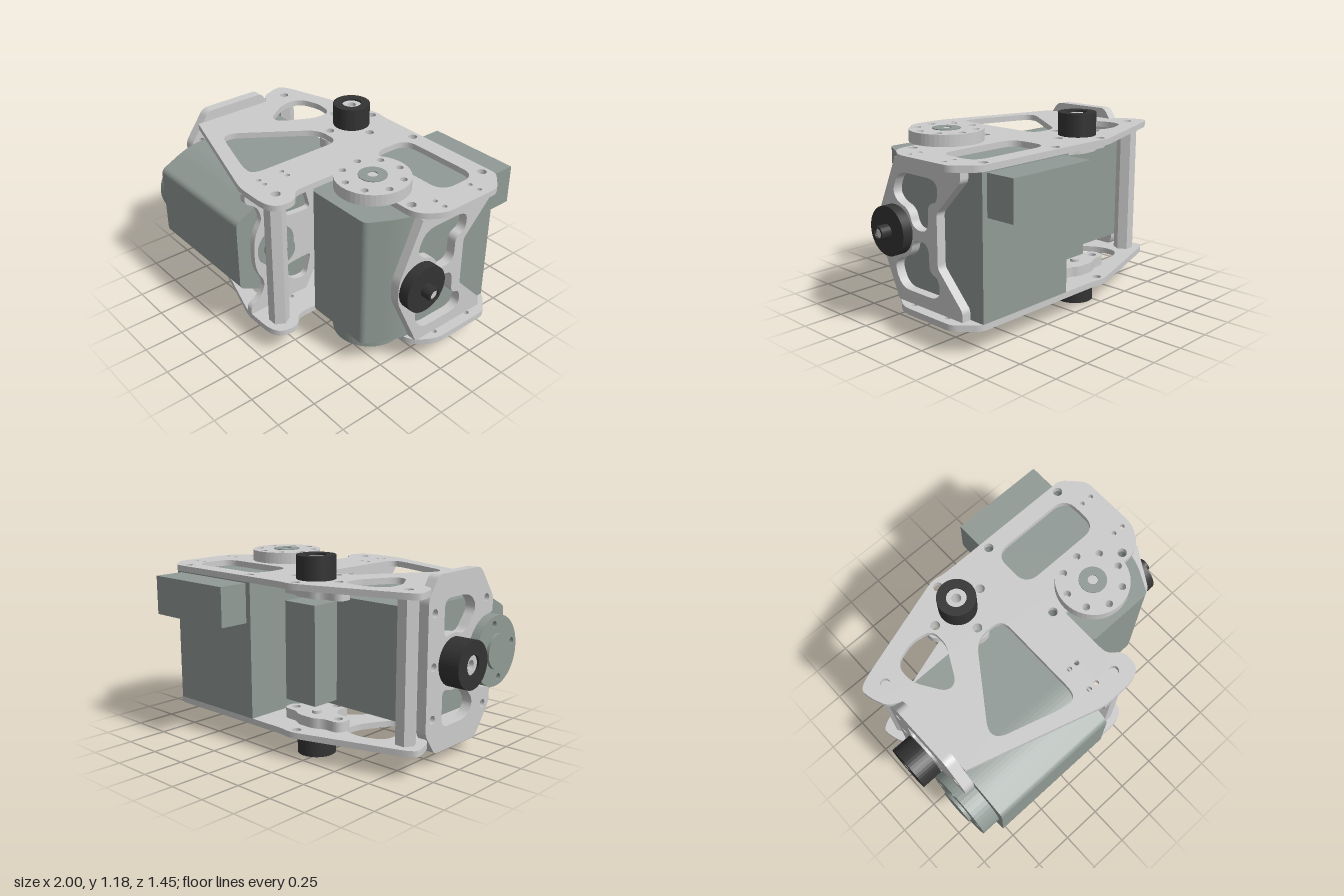
import * as THREE from 'three';

const metal = new THREE.MeshStandardMaterial({ color: 0xcccccc });
const metalFlat = new THREE.MeshStandardMaterial({ color: 0xcccccc, flatShading: true });
const casing = new THREE.MeshStandardMaterial({ color: 0x909a95 });
const rubber = new THREE.MeshStandardMaterial({ color: 0x333333 });
const MID = 0.595; // height of the mirror plane between the two plates

// Closed counter-clockwise path through [a, b, cornerRadius] points with rounded corners
function rounded(points, path) {
  const clockwise = THREE.ShapeUtils.isClockWise(points.map(([x, y]) => ({ x, y })));
  const pts = clockwise ? [...points].reverse() : points;
  const n = pts.length;
  pts.forEach(([a, b, r = 0], i) => {
    const p = new THREE.Vector2(a, b);
    const toward = q => {
      const d = new THREE.Vector2(q[0], q[1]).sub(p);
      return d.clone().setLength(Math.min(r, d.length() * 0.48)).add(p);
    };
    const s = toward(pts[(i + n - 1) % n]), e = toward(pts[(i + 1) % n]);
    if (i) path.lineTo(s.x, s.y); else path.moveTo(s.x, s.y);
    if (r) path.quadraticCurveTo(p.x, p.y, e.x, e.y);
  });
  path.closePath();
  return path;
}

function arc(ca, cb, r, from, to, steps = 14) {
  return Array.from({ length: steps + 1 }, (_, i) => {
    const t = from + (to - from) * i / steps;
    return [ca + r * Math.cos(t), cb + r * Math.sin(t)];
  });
}

const circle = (a, b, r, steps = 24) => arc(a, b, r, 0, Math.PI * 2, steps).slice(1);

// Flat slab: axis 'y' takes (x, z) points, axis 'x' takes (z, y) points; drills are [a, b, radius]
function slab(name, mat, axis, start, depth, outline, holes = [], drills = []) {
  const map = axis === 'y' ? p => [p[0], -p[1], p[2]] : p => [-p[0], p[1], p[2]];
  const shape = rounded(outline.map(map), new THREE.Shape());
  [...holes, ...drills.map(d => circle(...d))].forEach(h =>
    shape.holes.push(rounded(h.map(map), new THREE.Path())));
  const g = new THREE.ExtrudeGeometry(shape, { depth, bevelEnabled: false, curveSegments: 10 });
  if (axis === 'y') g.rotateX(-Math.PI / 2).translate(0, start, 0);
  else g.rotateY(Math.PI / 2).translate(start, 0, 0);
  const m = new THREE.Mesh(g, mat);
  m.name = name;
  return m;
}

// Cylinder between two positions on an axis; (a, b) is (x, z) or (z, y)
function rod(name, mat, axis, from, to, a, b, r, sides = 40) {
  const m = new THREE.Mesh(new THREE.CylinderGeometry(r, r, to - from, sides), mat);
  const c = (from + to) / 2;
  if (axis === 'y') m.position.set(a, c, b);
  else { m.rotation.z = -Math.PI / 2; m.position.set(c, b, a); }
  m.name = name;
  return m;
}

function box(name, mat, size, position) {
  const m = new THREE.Mesh(new THREE.BoxGeometry(...size), mat);
  m.position.set(...position);
  m.name = name;
  return m;
}

// Round disc with a ring of drilled holes
function disc(name, mat, axis, start, depth, a, b, r, count, ring, hole) {
  const drills = arc(a, b, ring, 0.2, 0.2 + Math.PI * 2, count).slice(1).map(p => [...p, hole]);
  return slab(name, mat, axis, start, depth, circle(a, b, r, 48), [], drills);
}

// Round disc with a central bore
const ringDisc = (name, mat, axis, start, depth, a, b, r, bore) =>
  slab(name, mat, axis, start, depth, circle(a, b, r, 48), [], [[a, b, bore]]);

const flip = pts => pts.map(([z, y, r]) => [z, 2 * MID - y, r]).reverse();

// Main plate, notched around the second motor's axis by a given radius
function mainPlate(name, y, notch) {
  const s = Math.asin(0.02 / notch);
  return slab(name, metal, 'y', y, 0.037, [
    [-0.93, -0.325, 0.12], [-0.2, -0.555, 0.06], [-0.12, -0.54, 0.05], [0.82, -0.54, 0.04],
    [0.935, -0.42, 0.04], [0.935, -0.02, 0.06], [0.84, 0.12, 0.09],
    ...arc(0.475, 0.10, notch, s, -Math.PI - s),
    [0.24, 0.122], [0.24, 0.46, 0.04], [0.33, 0.53, 0.08], [0.3, 0.68, 0.13], [0.02, 0.68, 0.05],
    [-0.8, 0.43], [-0.8, -0.1], [-0.88, -0.14, 0.04], [-0.925, -0.25, 0.08]
  ], [
    [[-0.69, -0.29, 0.08], [-0.54, -0.34, 0.05], [-0.4, -0.32, 0.09], [-0.4, -0.19, 0.04],
      [-0.51, 0.02, 0.06], [-0.58, 0.02, 0.05], [-0.69, -0.15, 0.06]],
    [[-0.25, -0.1, 0.08], [-0.06, -0.1, 0.08], [-0.06, 0.54, 0.1], [-0.17, 0.53, 0.05], [-0.6, 0.4, 0.12]],
    [[0.19, -0.43, 0.1], [0.76, -0.43, 0.1], [0.76, -0.16, 0.1], [0.19, -0.16, 0.1]]
  ], [
    ...[[-0.2, -0.5], [0.19, -0.49], [0.755, -0.49], [0.19, 0.07], [0.755, 0.07], [-0.37, -0.325],
      [-0.025, -0.325], [-0.2, -0.15], [-0.805, -0.25], [0.2, 0.565]].map(p => [...p, 0.028]),
    ...[[0.02, 0.39], [0.02, 0.55], [0.075, 0.39], [0.075, 0.55],
      [0.81, -0.33], [0.88, -0.33], [0.81, -0.055], [0.88, -0.055]].map(p => [...p, 0.015])
  ]);
}

export function createModel() {
  const root = new THREE.Group();
  const add = (...m) => root.add(...m);

  add(mainPlate('topPlate', 1.011, 0.135), mainPlate('bottomPlate', 0.143, 0.228));

  // Sideways motor, with idler on its outer end and output on the inner end
  add(slab('sideMotorBody', casing, 'x', -0.8, 0.822,
    [[-0.18, 0.26], [0.5, 0.26, 0.12], [0.722, 0.37, 0.03], [0.722, 0.82, 0.03], [0.5, 0.93, 0.12], [-0.18, 0.93]],
    [], [[0.46, 0.88, 0.028], [0.46, 0.31, 0.028]]),
  box('sideMotorConnector', casing, [0.24, 0.605, 0.19], [-0.105, MID, -0.274]),
  disc('sideMotorIdler', casing, 'x', -0.918, 0.118, 0.47, MID, 0.218, 4, 0.17, 0.022),
  rod('sideMotorIdlerCap', casing, 'x', -0.937, -0.918, 0.47, MID, 0.11),
  rod('sideMotorNeck', casing, 'x', 0.02, 0.06, 0.48, MID, 0.13),
  ringDisc('sideMotorShaft', casing, 'x', 0.06, 0.08, 0.48, MID, 0.083, 0.03));

  // Upright motor with rear connector block
  add(slab('uprightMotorBody', casing, 'y', 0.18, 0.831,
    [[0.135, -0.54], [0.81, -0.54], [0.81, 0.13, 0.12], [0.69, 0.35, 0.03], [0.25, 0.35, 0.03], [0.135, 0.13, 0.12]],
    [], [[0.19, -0.49, 0.028], [0.755, -0.49, 0.028], [0.19, 0.07, 0.028], [0.755, 0.07, 0.028]]),
  box('uprightMotorConnector', casing, [0.605, 0.24, 0.19], [0.473, 0.885, -0.634]),
  rod('uprightMotorNeck', casing, 'y', 1.01, 1.05, 0.475, 0.1, 0.13),
  disc('outputHorn', metal, 'y', 1.05, 0.07, 0.475, 0.1, 0.22, 8, 0.175, 0.022),
  ringDisc('uprightMotorShaft', casing, 'y', 1.04, 0.085, 0.475, 0.1, 0.083, 0.03),
  disc('uprightMotorIdler', casing, 'y', 0.065, 0.115, 0.475, 0.1, 0.218, 4, 0.17, 0.022),
  rod('uprightMotorIdlerCap', casing, 'y', 0.045, 0.065, 0.475, 0.1, 0.105));

  // Right-hand end bracket, notched around the idler
  const rightHalf = [[-0.15, 0.98, 0.03], [-0.06, 1.112, 0.03], [0.35, 1.112, 0.04], [0.41, 1.03, 0.04],
    [0.49, 0.92, 0.03], [0.49, 0.83, 0.02]];
  const rightOpening = [[0.0, 0.97, 0.06], [0.25, 0.97, 0.08], [0.32, 0.88, 0.06], [0.2, 0.74, 0.05],
    [0.1, 0.77, 0.05], [0.0, 0.74, 0.05]];
  add(slab('rightBracket', metal, 'x', -0.867, 0.066,
    [...rightHalf, ...arc(0.47, MID, 0.228, 1.6, Math.PI * 2 - 1.6, 18), ...flip(rightHalf)],
    [rightOpening, flip(rightOpening)],
    [[-0.09, 0.9, 0.025], [-0.09, MID, 0.025], [-0.09, 0.29, 0.025], [0.42, 0.92, 0.025], [0.42, 0.27, 0.025]]));

  // Left-hand end bracket with two kidney openings
  const leftHalf = [[0.25, 0.66, 0.04], [0.09, 1.011], [-0.44, 1.011], [-0.44, 0.95, 0.02], [-0.25, 0.75, 0.02]];
  const leftOpening = [[0.12, 0.82, 0.06], [0.06, 0.935, 0.07], [-0.26, 0.935, 0.09], [-0.26, 0.81, 0.07],
    [-0.18, 0.79, 0.05], [-0.18, 0.625, 0.08], [-0.05, 0.625, 0.06], [-0.02, 0.73, 0.06], [0.08, 0.76, 0.04]];
  add(slab('leftBracket', metal, 'x', 0.812, 0.058, [...leftHalf, ...flip(leftHalf)],
    [leftOpening, flip(leftOpening)]));

  // Inner bracket: a ring around the motor output with an opening above and below
  const innerHalf = [[0.15, 0.8, 0.04], [0.26, 1.011], [0.68, 1.011], [0.68, 0.96, 0.03], [0.6, 0.91, 0.04],
    [0.57, 0.82, 0.04], [0.635, 0.7, 0.08]];
  const innerOpening = [[0.22, 0.76, 0.03], [0.3, 0.76, 0.03], [0.41, 0.77, 0.04], [0.42, 0.85, 0.04],
    [0.34, 0.91, 0.04], [0.26, 0.91, 0.03]];
  add(slab('innerBracket', metal, 'x', 0.022, 0.04, [...innerHalf, ...flip(innerHalf)],
    [innerOpening, flip(innerOpening)],
    [[0.48, MID, 0.132], [0.46, 0.88, 0.028], [0.46, 0.31, 0.028]]));

  // Hexagonal standoffs between the plates
  for (const [x, z] of [[-0.805, -0.25], [0.2, 0.575]]) {
    const post = rod('standoff', metalFlat, 'y', 0.18, 1.011, x, z, 0.063, 6);
    post.rotation.y = Math.PI / 6;
    add(post);
  }

  // Rollers above and below, each held by a three-armed mount
  for (const top of [true, false]) {
    const at = (a, b) => top ? [a, b] : [2 * MID - b, 2 * MID - a];
    const side = top ? 'top' : 'bottom';
    const [r0, r1] = at(1.048, 1.187), [h0, h1] = at(1.04, 1.175);
    const [m0, m1] = at(0.948, 1.011), [p0, p1] = at(0.93, 0.95);
    add(ringDisc(side + 'Roller', rubber, 'y', r0, r1 - r0, -0.197, -0.325, 0.115, 0.06),
      ringDisc(side + 'RollerHub', metal, 'y', h0, h1 - h0, -0.197, -0.325, 0.06, 0.028),
      rod(side + 'RollerPin', metal, 'y', p0, p1, -0.197, -0.325, 0.028),
      slab(side + 'RollerMount', metal, 'y', m0, m1 - m0, [
        [-0.43, -0.385, 0.06], [-0.31, -0.385, 0.04], [-0.26, -0.42, 0.04], [-0.135, -0.42, 0.04],
        [-0.085, -0.385, 0.04], [0.03, -0.385, 0.06], [0.03, -0.265, 0.06], [-0.085, -0.265, 0.04],
        [-0.137, -0.21, 0.04], [-0.137, -0.09, 0.06], [-0.257, -0.09, 0.06], [-0.257, -0.21, 0.04],
        [-0.31, -0.265, 0.04], [-0.43, -0.265, 0.06]
      ], [], [[-0.37, -0.325, 0.028], [-0.025, -0.325, 0.028], [-0.197, -0.15, 0.028]]));
  }

  // Wheels on the two end brackets
  add(ringDisc('rightWheel', rubber, 'x', -1, 0.133, 0.1, MID, 0.145, 0.06),
    ringDisc('rightWheelHub', metal, 'x', -0.985, 0.12, 0.1, MID, 0.06, 0.028),
    rod('leftWheel', rubber, 'x', 0.87, 0.935, 0.1, MID, 0.145),
    ringDisc('leftWheelAxle', rubber, 'x', 0.93, 0.07, 0.1, MID, 0.042, 0.03),
    rod('leftWheelPin', metal, 'x', 0.93, 0.985, 0.1, MID, 0.03));

  return root;
}
